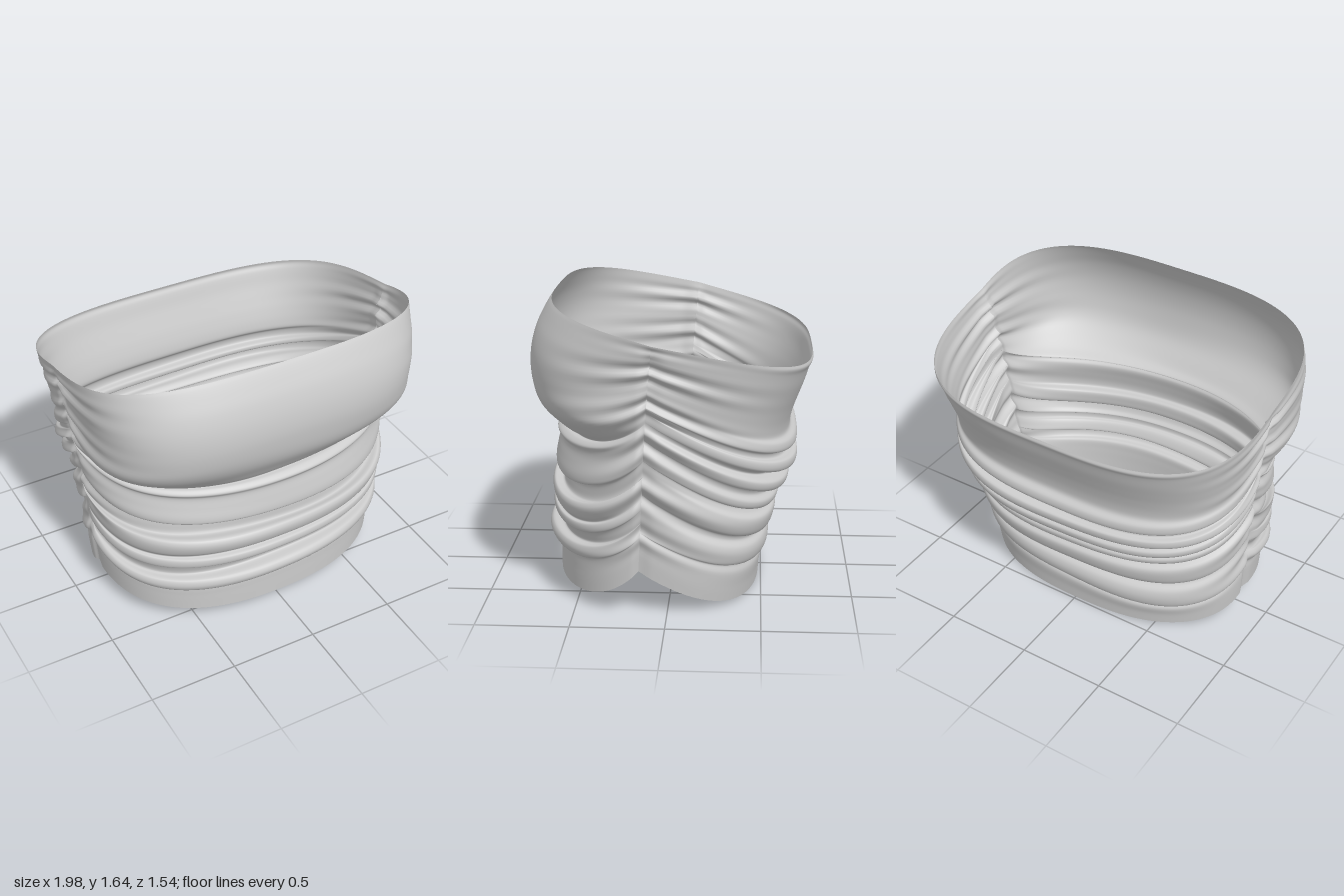
import * as THREE from 'three';

// Centre-line profiles [z, y] from hem to neckline; bulges overhang to form the folds
const FRONT = [
  [.65, .07], [.65, .13], [.65, .2], [.655, .255], [.69, .265], [.705, .3], [.69, .335], [.635, .345],
  [.64, .38], [.66, .415], [.685, .425], [.685, .47], [.66, .48], [.685, .51], [.70, .57], [.685, .6], [.625, .595],
  [.615, .64], [.62, .69], [.67, .70], [.675, .73], [.66, .8], [.645, .87], [.66, .90], [.63, .925], [.60, .93],
  [.64, .965], [.68, 1.02], [.73, 1.1], [.76, 1.19], [.773, 1.29], [.764, 1.4], [.735, 1.5], [.695, 1.58],
  [.665, 1.63], [.65, 1.65],
];
const BACK = [
  [-.485, .005], [-.49, .07], [-.50, .14], [-.485, .18], [-.525, .19], [-.54, .24], [-.53, .29], [-.495, .33],
  [-.505, .36], [-.555, .37], [-.575, .42], [-.575, .47], [-.545, .5], [-.535, .53], [-.585, .53], [-.595, .565],
  [-.57, .6], [-.585, .63], [-.64, .63], [-.65, .67], [-.63, .69], [-.595, .71], [-.625, .735], [-.68, .735],
  [-.685, .785], [-.645, .80], [-.645, .83], [-.685, .84], [-.685, .885], [-.655, .92], [-.655, .97], [-.675, 1.05],
  [-.70, 1.12], [-.73, 1.2], [-.755, 1.28], [-.77, 1.31], [-.765, 1.33],
];

const lerp = THREE.MathUtils.lerp;
const smooth = THREE.MathUtils.smoothstep;

// One cloth panel running from side seam to side seam; dir is +1 for front, -1 for back
function panel(name, points, dir, material) {
  const cols = 150, rows = 175;
  const curve = new THREE.CatmullRomCurve3(points.map(([z, y]) => new THREE.Vector3(0, y, z)), false, 'centripetal');
  const y0 = points[0][1], y1 = points[points.length - 1][1];
  const profile = [];
  for (let i = 0; i <= rows; i++) profile.push(curve.getPoint(i / rows));

  const geo = new THREE.PlaneGeometry(1, 1, cols, rows);
  const pos = geo.attributes.position;
  for (let i = 0; i < pos.count; i++) {
    const p = profile[Math.round((pos.getY(i) + .5) * rows)];
    const angle = Math.PI * (.5 - pos.getX(i) * dir);
    const c = Math.cos(angle), sn = Math.max(0, Math.sin(angle));
    const f = (p.y - y0) / (y1 - y0);
    const fc = THREE.MathUtils.clamp(f, 0, 1);

    // Oval at the waist, a rounded rectangle round the bust and neckline
    const n = dir > 0 ? 2.3 - .2 * smooth(f, .2, .5) + 1.2 * smooth(f, .52, .7) - .2 * smooth(f, .8, 1) : 2.45 + .75 * f;
    const r = Math.pow(Math.abs(c) ** n + sn ** n, -1 / n);
    const ox = c * r, oz = sn * r;
    const seam = 1 - oz;
    const foldZone = smooth(f, .03, .15) * (1 - smooth(f, .55, .75));

    // Fold height carried round the corners, thinning out at the seams
    const base = dir > 0 ? .655 : .49 + .27 * f;
    const fold = (Math.abs(p.z) - base) * foldZone;
    const vary = fold * .2 * Math.sin(3.5 * ox + 11 * f);

    // Gathers that fan out from the side seams
    const side = Math.sign(ox);
    const ripple = Math.sin(f * 62 + side) + .6 * Math.sin(f * 97 + 2 * side + 1.5 * seam);
    const gather = .012 * ripple * seam ** 2 * smooth(f, .05, .15) * (1 - smooth(f, .93, 1));
    const pinch = -.014 * smooth(seam, .9, 1) * (1 - smooth(f, .9, 1));

    // The left seam sits further forward than the right one
    const halfWidth = .835 + .155 * fc;
    const midZ = lerp(.07, -.015, fc);
    const seamZ = midZ + .08 * side * seam ** 2;
    const swell = 1 + gather + pinch;
    const x = ox * (halfWidth + fold * .7 * (1 - seam ** 3)) * swell - .012 * (1 - fc);
    const z = seamZ + oz * (p.z - midZ + dir * vary) * swell;

    // Edges and folds climb to the side seams; the left hem has a deeper notch
    const left = smooth(ox, -.6, .8);
    const hem = lerp(y0, lerp(.13, .25, left), seam ** lerp(1.2, dir > 0 ? 2.5 : 1.8, left));
    const neck = lerp(y1, 1.5, seam);
    const rise = .14 * Math.sin(Math.PI * fc) * seam ** (dir > 0 ? 1.8 : 1.3);
    const tilt = .035 * ox * (1 - seam) * (1 - smooth(f, .15, .4));
    const drift = (.012 * Math.sin(2.6 * ox + 9 * f) + tilt) * foldZone;
    pos.setXYZ(i, x, lerp(hem, neck, f) + rise + drift, z);
  }
  geo.computeVertexNormals();
  const mesh = new THREE.Mesh(geo, material);
  mesh.name = name;
  return mesh;
}

export function createModel() {
  const group = new THREE.Group();
  group.name = 'strapless top';
  const cloth = new THREE.MeshStandardMaterial({ color: 0xcccccc, side: THREE.DoubleSide });
  group.add(panel('frontPanel', FRONT, 1, cloth), panel('backPanel', BACK, -1, cloth));
  return group;
}
